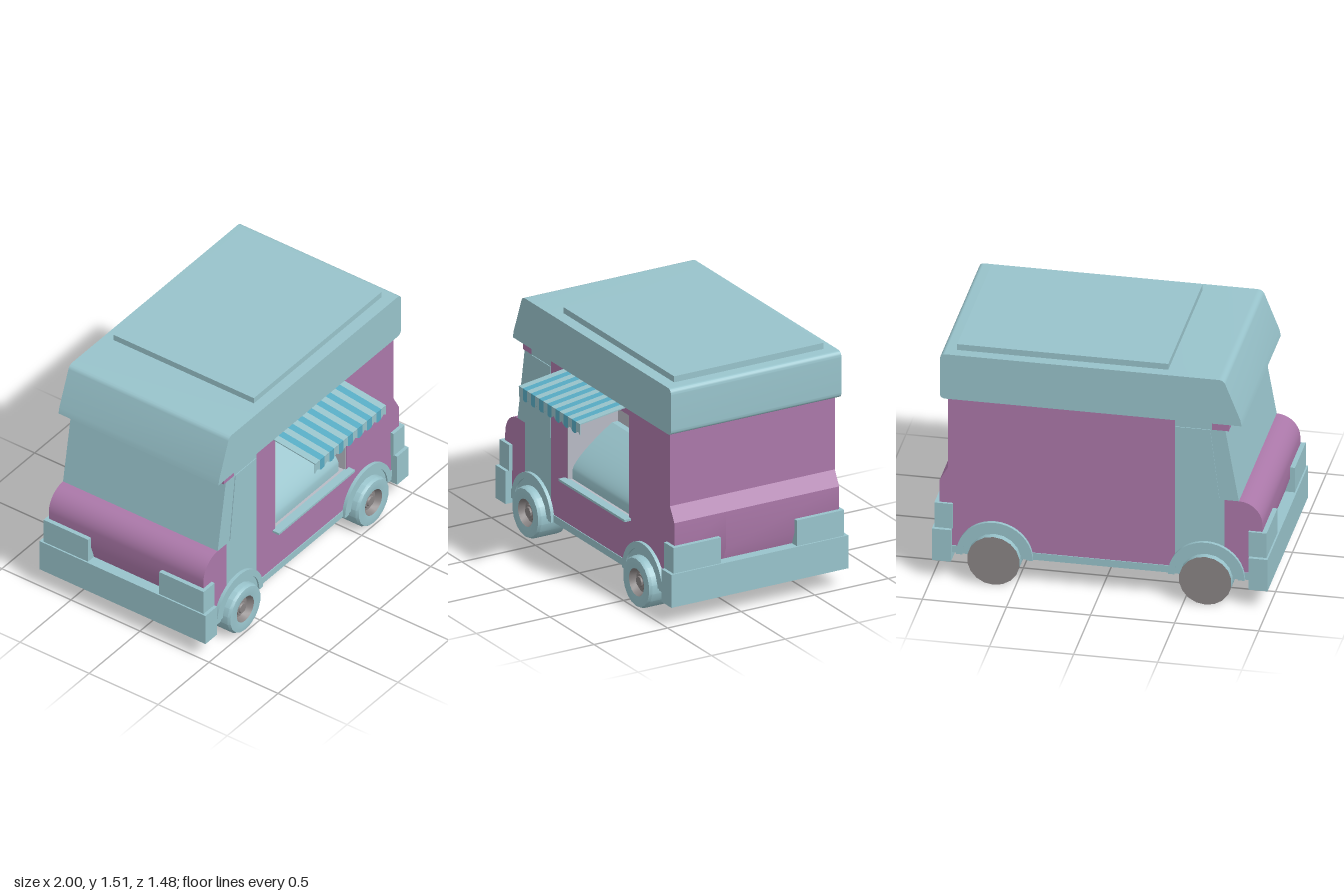
import * as THREE from 'three';
import { mergeGeometries, toCreasedNormals } from 'three/addons/utils/BufferGeometryUtils.js';

const paint = (name, color) => {
  const m = new THREE.MeshStandardMaterial({ color });
  m.name = name;
  return m;
};

export function createModel() {
  const truck = new THREE.Group();
  truck.name = 'foodTruck';
  const teal = paint('teal', 0x98c3cb);
  const purple = paint('purple', 0xab78a9);
  const blue = paint('awning blue', 0x58acc4);
  const pale = paint('pale grey', 0xb8bac4);
  const grey = paint('hub grey', 0x898484);

  const add = (name, geometry, material, parent = truck) => {
    const mesh = new THREE.Mesh(geometry, material);
    mesh.name = name;
    parent.add(mesh);
    return mesh;
  };
  // box given by its minimum and maximum corners
  const box = (name, material, x0, x1, y0, y1, z0, z1) => {
    const g = new THREE.BoxGeometry(x1 - x0, y1 - y0, z1 - z0);
    g.translate((x0 + x1) / 2, (y0 + y1) / 2, (z0 + z1) / 2);
    return add(name, g, material);
  };
  const polygon = (pts) => new THREE.Shape(pts.map(([x, y]) => new THREE.Vector2(x, y)));
  // side profile extruded across the width
  const extrude = (shape, z0, z1) => {
    const g = new THREE.ExtrudeGeometry(shape, { depth: z1 - z0, bevelEnabled: false, curveSegments: 10 });
    g.translate(0, 0, z0);
    return toCreasedNormals(g, 0.5);
  };

  const BACK = -0.69, FRONT = 0.43, ROOM = 0.08;

  // main body: solid rear half, front half with the serving hatch cut out
  const bodyPoints = [[-0.44, 0.21], [0.89, 0.21], [0.96, 0.4], [0.96, 0.63], [0.91, 0.72], [0.91, 1.18], [-0.44, 1.18]];
  const hatchWall = polygon(bodyPoints);
  hatchWall.holes.push(new THREE.Path([[-0.255, 0.48], [-0.255, 1.13], [0.445, 1.13], [0.445, 0.48]]
    .map(([x, y]) => new THREE.Vector2(x, y))));
  add('bodyRearHalf', extrude(polygon(bodyPoints), BACK, ROOM), purple);
  add('bodyHatchHalf', extrude(hatchWall, ROOM, FRONT), purple);

  // lining of the serving hatch
  box('hatchBackWall', pale, -0.255, 0.445, 0.48, 1.13, ROOM, ROOM + 0.008);
  box('hatchLeftLining', pale, 0.439, 0.445, 0.48, 1.13, ROOM, FRONT - 0.002);
  box('hatchRightLining', pale, -0.255, -0.249, 0.48, 1.13, ROOM, FRONT - 0.002);
  box('hatchCeiling', pale, -0.255, 0.445, 1.124, 1.13, ROOM, FRONT - 0.002);
  box('hatchFloor', pale, -0.255, 0.445, 0.48, 0.486, ROOM, FRONT - 0.002);

  // sloping counter and serving shelf
  const counterShape = new THREE.Shape();
  counterShape.moveTo(0.09, 0.486);
  counterShape.lineTo(0.4, 0.486);
  counterShape.lineTo(0.4, 0.54);
  counterShape.quadraticCurveTo(0.38, 0.62, 0.13, 0.785);
  counterShape.lineTo(0.09, 0.785);
  const counter = extrude(counterShape, 0, 0.658);
  counter.rotateY(-Math.PI / 2);
  counter.translate(0.41, 0, 0);
  add('counter', counter, teal);
  box('servingShelf', teal, -0.28, 0.47, 0.476, 0.49, FRONT - 0.01, 0.475);

  // cab: doors, windscreen block and rounded nose
  box('cabDoors', teal, -0.735, -0.44, 0.21, 0.675, BACK, FRONT);
  add('cabTop', extrude(polygon([[-0.82, 0.675], [-0.44, 0.675], [-0.44, 1.18], [-0.66, 1.18], [-0.66, 1.13], [-0.74, 1.13]]), BACK, FRONT), teal);
  box('windscreenHeader', purple, -0.76, -0.66, 1.13, 1.18, BACK, FRONT);
  const nose = new THREE.Shape();
  nose.moveTo(-0.735, 0.21);
  nose.lineTo(-0.735, 0.675);
  nose.lineTo(-0.82, 0.675);
  nose.absarc(-0.82, 0.535, 0.14, Math.PI / 2, Math.PI, false);
  nose.lineTo(-0.96, 0.42);
  nose.lineTo(-0.89, 0.21);
  add('nose', extrude(nose, BACK, FRONT), purple);
  const glass = polygon([[-0.705, 0.68], [-0.445, 0.68], [-0.445, 1.13], [-0.65, 1.13]]);
  add('leftSideWindow', extrude(glass, FRONT, FRONT + 0.005), teal);
  add('rightSideWindow', extrude(glass, BACK - 0.005, BACK), teal);

  // roof with a raised top panel
  const roof = new THREE.Shape();
  roof.moveTo(-0.84, 1.18);
  roof.lineTo(0.92, 1.18);
  roof.quadraticCurveTo(0.955, 1.18, 0.955, 1.215);
  roof.lineTo(0.955, 1.435);
  roof.quadraticCurveTo(0.955, 1.472, 0.92, 1.472);
  roof.lineTo(-0.7, 1.472);
  roof.quadraticCurveTo(-0.735, 1.472, -0.745, 1.44);
  roof.lineTo(-0.832, 1.22);
  add('roof', extrude(roof, -0.708, 0.45), teal);
  box('roofPanel', teal, -0.39, 0.865, 1.465, 1.51, -0.64, 0.375);

  // sill and floor
  box('sill', teal, -0.89, 0.89, 0.165, 0.21, BACK - 0.005, FRONT + 0.005);

  // bumpers with corner guards at both ends
  for (const [end, s] of [['front', -1], ['rear', 1]]) {
    const span = (a, b) => [Math.min(s * a, s * b), Math.max(s * a, s * b)];
    box(end + 'Bumper', teal, ...span(0.885, 0.998), 0.12, 0.327, -0.73, 0.473);
    box(end + 'LeftGuard', teal, ...span(0.88, 0.988), 0.325, 0.488, 0.13, 0.452);
    box(end + 'RightGuard', teal, ...span(0.88, 0.988), 0.325, 0.488, -0.707, -0.385);
  }

  // wheel arches and wheels
  const lathe = (pts) => {
    const g = new THREE.LatheGeometry(pts.map(([r, y]) => new THREE.Vector2(r, y)), 18);
    return toCreasedNormals(g.rotateX(Math.PI / 2), 0.5);
  };
  const tyre = lathe([[0.157, -0.095], [0.157, 0.075], [0.148, 0.092], [0.12, 0.095], [0.085, 0.09]]);
  const hub = lathe([[0.085, 0.09], [0.068, 0.05], [0.05, 0.05], [0.045, 0.065], [0.034, 0.065], [0.03, 0.075], [0, 0.075]]);
  const innerDisc = lathe([[0, -0.095], [0.157, -0.095]]);
  for (const x of [-0.63, 0.63]) {
    const end = x < 0 ? 'front' : 'rear';
    const rim = new THREE.Shape();
    rim.absarc(x, 0.165, 0.228, 0, Math.PI, false);
    rim.absarc(x, 0.165, 0.19, Math.PI, 0, true);
    add(end + 'ArchRim', extrude(rim, -0.712, 0.452), teal);
    const fill = new THREE.Shape();
    fill.absarc(x, 0.165, 0.195, 0, Math.PI, false);
    add(end + 'ArchFill', extrude(fill, -0.7, 0.441), teal);
    for (const z of [-0.645, 0.4]) {
      const wheel = new THREE.Group();
      wheel.name = end + (z > 0 ? 'LeftWheel' : 'RightWheel');
      wheel.position.set(x, 0.157, z);
      add('tyre', tyre, teal, wheel);
      add('hub', hub, grey, wheel);
      add('wheelDisc', innerDisc, grey, wheel);
      truck.add(wheel);
    }
  }

  // striped awning with a scalloped valance
  const count = 15, left = -0.285, w = 0.695 / count;
  const stripes = [[], []];
  for (let i = 0; i < count; i++) {
    const x0 = left + i * w;
    const slat = new THREE.BoxGeometry(w, 0.007, 0.318);
    slat.rotateX(0.142);
    slat.translate(x0 + w / 2, 1.147, 0.585);
    const edge = [[x0 + w, 1.125], [x0, 1.125]];
    for (let k = 0; k <= 6; k++) {
      const u = i + k / 6;
      edge.push([left + u * w, 1.075 - 0.025 * Math.abs(Math.cos((Math.PI * (u - 1.5)) / 2))]);
    }
    const flap = new THREE.ExtrudeGeometry(polygon(edge), { depth: 0.004, bevelEnabled: false });
    flap.translate(0, 0, 0.738);
    stripes[i % 2].push(slat.toNonIndexed(), flap);
  }
  add('awningPaleStripes', mergeGeometries(stripes[0]), teal);
  add('awningBlueStripes', mergeGeometries(stripes[1]), blue);

  return truck;
}
